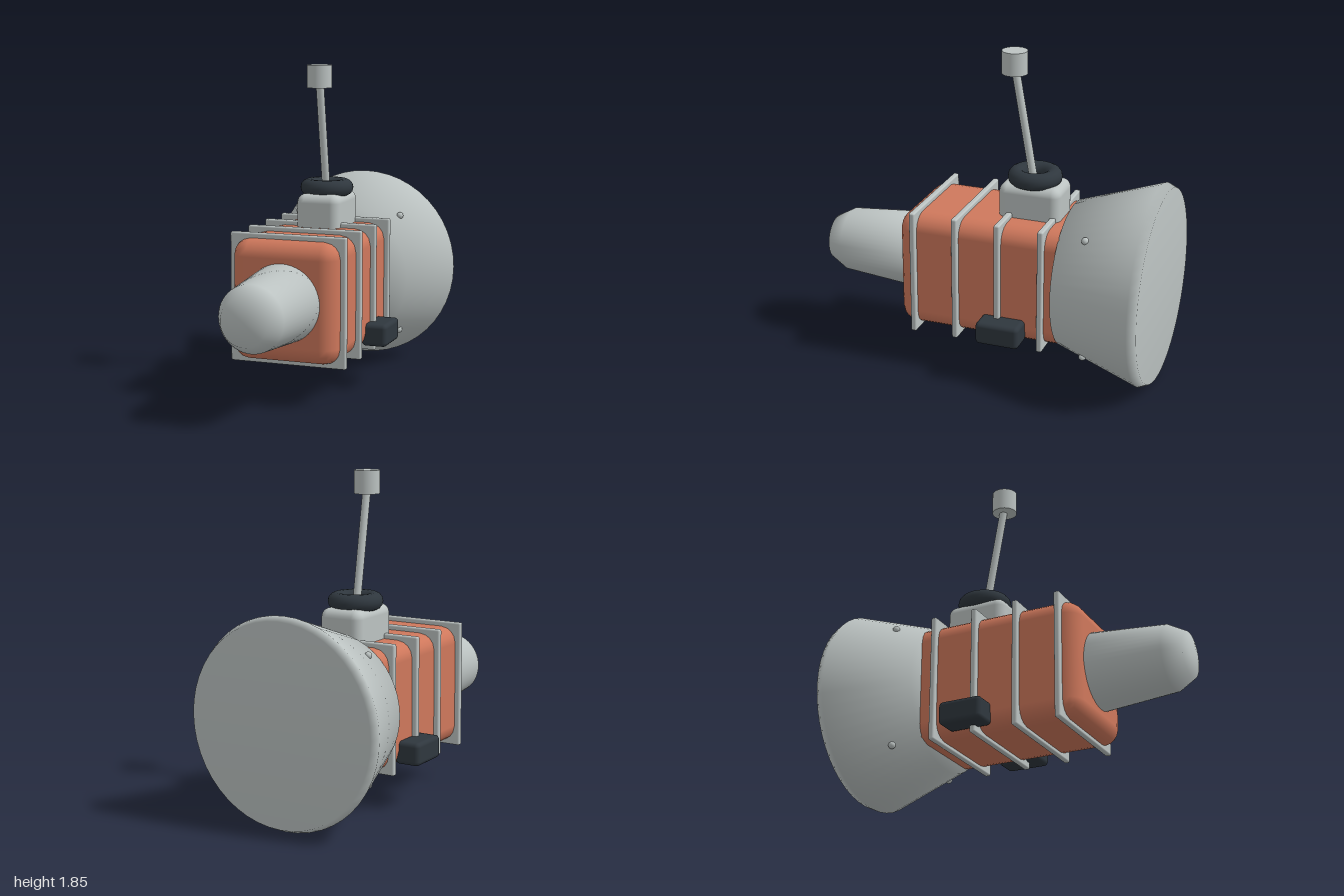
import * as THREE from 'three';
import { RoundedBoxGeometry } from 'three/addons/geometries/RoundedBoxGeometry.js';

const orange = new THREE.MeshStandardMaterial({ name: 'hull orange', color: 0xcf785c });
const grey = new THREE.MeshStandardMaterial({ name: 'light grey', color: 0xbcc3c2 });
const dark = new THREE.MeshStandardMaterial({ name: 'dark rubber', color: 0x2f373e });

const AXIS_Y = 0.58; // height of the hull's long axis

export function createModel() {
  const model = new THREE.Group();
  model.name = 'capsule';

  const add = (name, geometry, material, x, y, z) => {
    const mesh = new THREE.Mesh(geometry, material);
    mesh.name = name;
    mesh.position.set(x, y, z);
    model.add(mesh);
    return mesh;
  };

  // Closed solid of revolution along z; profile is [radius, z], back to front
  const spun = (name, profile, material) => {
    const points = profile.map(([r, z]) => new THREE.Vector2(r, z));
    const geometry = new THREE.LatheGeometry(points, 48).rotateX(Math.PI / 2);
    return add(name, geometry, material, 0, AXIS_Y, 0);
  };

  // Hull, running back into the bell
  add('hull', new RoundedBoxGeometry(0.62, 0.68, 1.465, 2, 0.095), orange, 0, AXIS_Y, -0.2575);

  // Nose cone and rear bell
  spun('nose', [[0, 0.46], [0.222, 0.46], [0.185, 0.9], [0.13, 1], [0, 1]], grey);
  spun('rearBell', [[0, -1], [0.555, -1], [0.578, -0.95], [0.42, -0.475], [0, -0.475]], grey);

  // Square bands around the hull
  for (const z of [0.37, 0.117, -0.135, -0.388]) {
    add('band', new RoundedBoxGeometry(0.68, 0.73, 0.034, 2, 0.01), grey, 0, 0.583, z);
  }

  // Side pods and bell rivets, mirrored
  for (const side of [-1, 1]) {
    add(side > 0 ? 'leftPod' : 'rightPod',
      new RoundedBoxGeometry(0.15, 0.13, 0.255, 2, 0.025), dark, side * 0.357, 0.32, -0.168);
    for (const up of [-1, 1]) {
      add('rivet', new THREE.SphereGeometry(0.021, 12, 8), grey, side * 0.323, AXIS_Y + up * 0.35, -0.64);
    }
  }

  // Hatch housing with rubber ring
  add('hatch', new RoundedBoxGeometry(0.26, 0.26, 0.36, 3, 0.05), grey, 0, 0.98, -0.243);
  add('hatchRing', new THREE.TorusGeometry(0.105, 0.049, 14, 36).rotateX(Math.PI / 2), dark, 0, 1.137, -0.243);

  // Leaning mast with a capped top
  const foot = new THREE.Vector3(0, 1.08, -0.24);
  const tip = new THREE.Vector3(0, 1.74, -0.123);
  const lean = tip.clone().sub(foot);
  const mast = add('mast', new THREE.CylinderGeometry(0.023, 0.023, lean.length(), 16), grey, 0, 0, 0);
  mast.position.addVectors(foot, tip).multiplyScalar(0.5);
  mast.quaternion.setFromUnitVectors(new THREE.Vector3(0, 1, 0), lean.normalize());
  add('mastCap', new THREE.CylinderGeometry(0.072, 0.072, 0.13, 28), grey, 0, 1.785, -0.118);

  return model;
}
